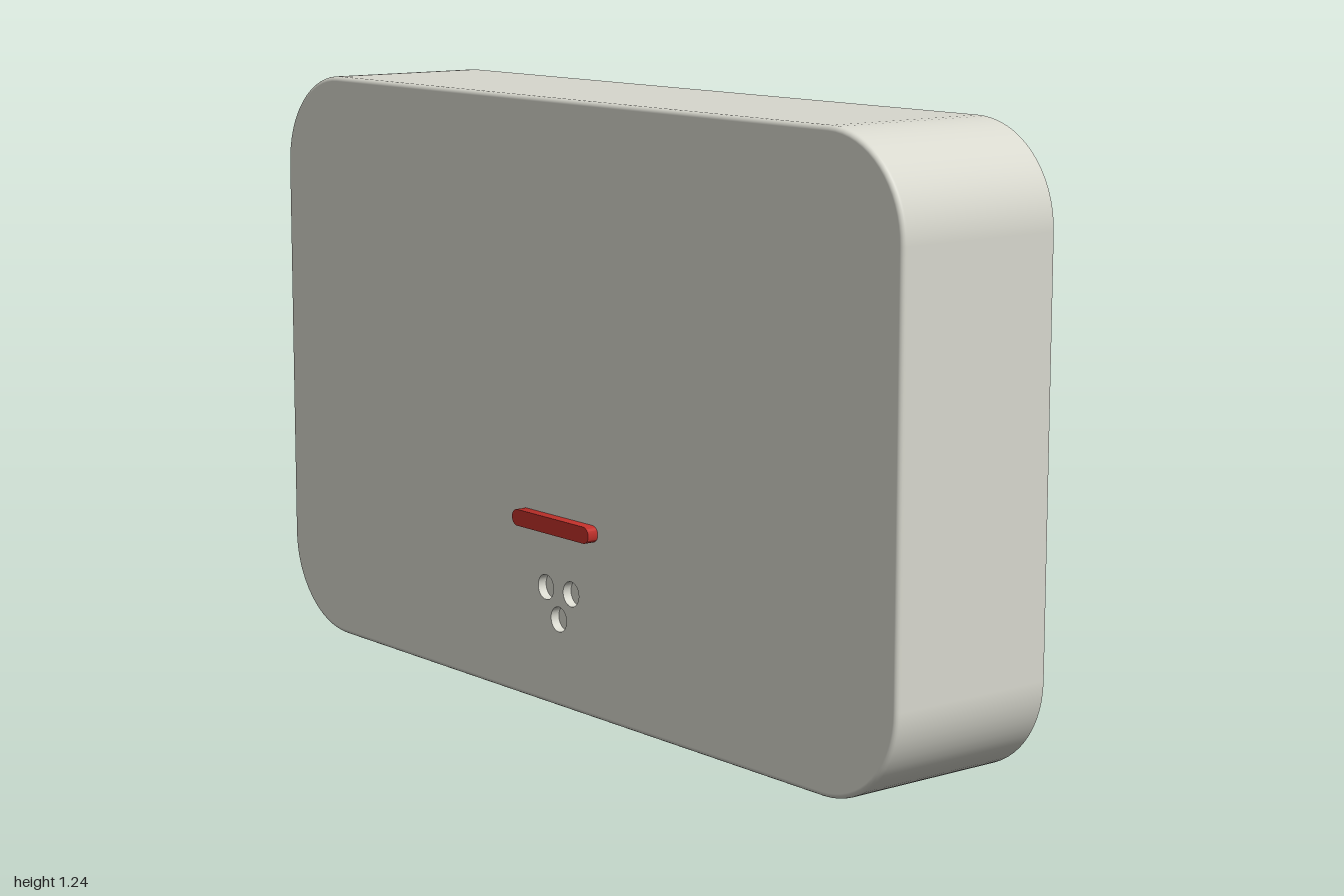
import * as THREE from 'three';
import { toCreasedNormals } from 'three/addons/utils/BufferGeometryUtils.js';

const X0 = -0.99, X1 = 1.0, Y0 = 0, Y1 = 1.24, R = 0.2;
const BACK = -0.18, FRONT = 0.193, BEVEL = 0.01;
const PORT = { z: -0.045, y: 0.615, w: 0.08, h: 0.22, depth: 0.1 };

const shellMat = new THREE.MeshStandardMaterial({ color: 0xd8d8ce });
const redMat = new THREE.MeshStandardMaterial({ color: 0xc0302a });
const metalMat = new THREE.MeshStandardMaterial({ color: 0xb4b4b0 });

// Rounded-rectangle outline, counter-clockwise from the lower end of the -x side
function outline(inset) {
  const pts = [], n = 16;
  const corners = [[X0 + R, Y0 + R], [X1 - R, Y0 + R], [X1 - R, Y1 - R], [X0 + R, Y1 - R]];
  corners.forEach(([cx, cy], c) => {
    for (let i = 0; i <= n; i++) {
      const a = Math.PI + (c + i / n) * Math.PI / 2;
      const nx = Math.cos(a), ny = Math.sin(a);
      pts.push({ x: cx + (R - inset) * nx, y: cy + (R - inset) * ny, nx, ny });
    }
  });
  return pts;
}

// Skin between outlines; each section is { inset, z, tilt of normal towards +z }
function loft(sections, closed) {
  const pos = [], nor = [], idx = [];
  let count = 0;
  for (const { inset, z, tilt } of sections) {
    const ring = outline(inset);
    if (closed) ring.push(ring[0]);
    count = ring.length;
    for (const p of ring) {
      pos.push(p.x, p.y, z);
      nor.push(p.nx * Math.cos(tilt), p.ny * Math.cos(tilt), Math.sin(tilt));
    }
  }
  for (let s = 0; s < sections.length - 1; s++) {
    for (let k = 0; k < count - 1; k++) {
      const a = s * count + k, b = a + count;
      idx.push(a, a + 1, b + 1, a, b + 1, b);
    }
  }
  const g = new THREE.BufferGeometry();
  g.setAttribute('position', new THREE.Float32BufferAttribute(pos, 3));
  g.setAttribute('normal', new THREE.Float32BufferAttribute(nor, 3));
  g.setIndex(idx);
  return g;
}

// Slot with round ends, centred on cx, cy
function slot(w, h, cx = 0, cy = 0, Type = THREE.Shape) {
  const s = new Type(), r = Math.min(w, h) / 2, dx = w / 2 - r, dy = h / 2 - r;
  s.absarc(cx + dx, cy + dy, r, 0, Math.PI / 2);
  s.absarc(cx - dx, cy + dy, r, Math.PI / 2, Math.PI);
  s.absarc(cx - dx, cy - dy, r, Math.PI, Math.PI * 1.5);
  s.absarc(cx + dx, cy - dy, r, Math.PI * 1.5, Math.PI * 2);
  s.closePath();
  return s;
}

function extrude(shape, depth) {
  const g = new THREE.ExtrudeGeometry(shape, { depth, bevelEnabled: false, curveSegments: 12 });
  return toCreasedNormals(g, 0.6);
}

function add(parent, name, geometry, material, x = 0, y = 0, z = 0) {
  const m = new THREE.Mesh(geometry, material);
  m.name = name;
  m.position.set(x, y, z);
  parent.add(m);
  return m;
}

export function createModel() {
  const model = new THREE.Group();
  model.name = 'wallDevice';

  // Case: walls, soft front edge, back
  const shell = new THREE.Group();
  shell.name = 'case';
  model.add(shell);
  const zEdge = FRONT - BEVEL;
  add(shell, 'walls', loft([{ inset: 0, z: BACK, tilt: 0 }, { inset: 0, z: zEdge, tilt: 0 }], false), shellMat);
  const edge = [0, 1, 2, 3, 4].map((i) => {
    const t = i / 4 * Math.PI / 2;
    return { inset: BEVEL * (1 - Math.cos(t)), z: zEdge + BEVEL * Math.sin(t), tilt: t };
  });
  add(shell, 'frontEdge', loft(edge, true), shellMat);
  const toPoints = (inset) => outline(inset).map((p) => new THREE.Vector2(p.x, p.y));
  const back = add(shell, 'backPanel', new THREE.ShapeGeometry(new THREE.Shape(toPoints(0)).closePath()), shellMat);
  back.geometry.scale(1, 1, -1);
  back.geometry.dispose();
  back.geometry = new THREE.ShapeGeometry(new THREE.Shape(toPoints(0).map((p) => new THREE.Vector2(-p.x, p.y))));
  back.rotation.y = Math.PI;
  back.position.z = BACK;

  // Front panel with three round recesses
  const face = new THREE.Shape(toPoints(BEVEL));
  const holeR = 0.026, holeDepth = 0.02;
  for (const [x, y] of [[-0.043, 0.243], [0.041, 0.243], [0, 0.183]]) {
    face.holes.push(slot(holeR * 2, holeR * 2, x, y, THREE.Path));
    const ring = new THREE.CylinderGeometry(holeR, holeR, holeDepth, 48, 1, true).rotateX(Math.PI / 2);
    const wallMat = shellMat.clone();
    wallMat.side = THREE.DoubleSide;
    add(model, 'recessWall', ring, wallMat, x, y, FRONT - holeDepth / 2);
    add(model, 'recessFloor', new THREE.CircleGeometry(holeR, 48), shellMat, x, y, FRONT - holeDepth);
  }
  add(shell, 'frontPanel', new THREE.ShapeGeometry(face, 12), shellMat, 0, 0, FRONT);

  // Side panel on -x, opened for the port
  const side = new THREE.Shape([
    new THREE.Vector2(BACK, Y0 + R), new THREE.Vector2(zEdge, Y0 + R),
    new THREE.Vector2(zEdge, Y1 - R), new THREE.Vector2(BACK, Y1 - R),
  ]);
  side.holes.push(slot(PORT.w - 0.01, PORT.h - 0.01, PORT.z, PORT.y, THREE.Path));
  add(shell, 'portSidePanel', new THREE.ShapeGeometry(side, 12), shellMat, X0).rotation.y = -Math.PI / 2;

  // Port: metal sleeve, inner end and tongue, facing -x
  const port = new THREE.Group();
  port.name = 'port';
  port.position.set(X0, PORT.y, PORT.z);
  port.rotation.y = -Math.PI / 2;
  model.add(port);
  const sleeve = slot(PORT.w, PORT.h);
  sleeve.holes.push(slot(PORT.w - 0.026, PORT.h - 0.026, 0, 0, THREE.Path));
  add(port, 'portSleeve', extrude(sleeve, PORT.depth + 0.01), metalMat, 0, 0, -PORT.depth);
  add(port, 'portEnd', extrude(slot(PORT.w - 0.01, PORT.h - 0.01), 0.01), metalMat, 0, 0, -PORT.depth);
  add(port, 'portTongue', new THREE.BoxGeometry(0.018, 0.15, 0.085), metalMat, 0, 0, -0.0525);

  // Red light bar
  add(model, 'lightBar', extrude(slot(0.255, 0.034), 0.034), redMat, 0.002, 0.38, FRONT - 0.01);

  // Four domed feet on the back
  const round = 0.036, footR = 0.0625;
  const profile = [];
  for (let i = 0; i <= 10; i++) {
    const t = i / 10 * Math.PI / 2;
    profile.push(new THREE.Vector2(footR - round + round * Math.cos(t), round * Math.sin(t)));
  }
  profile.push(new THREE.Vector2(0, round));
  const foot = new THREE.LatheGeometry(profile, 40);
  foot.rotateX(-Math.PI / 2);
  for (const x of [-0.868, 0.872]) {
    for (const y of [0.127, 1.07]) add(model, 'foot', foot, shellMat, x, y, BACK);
  }
  return model;
}
